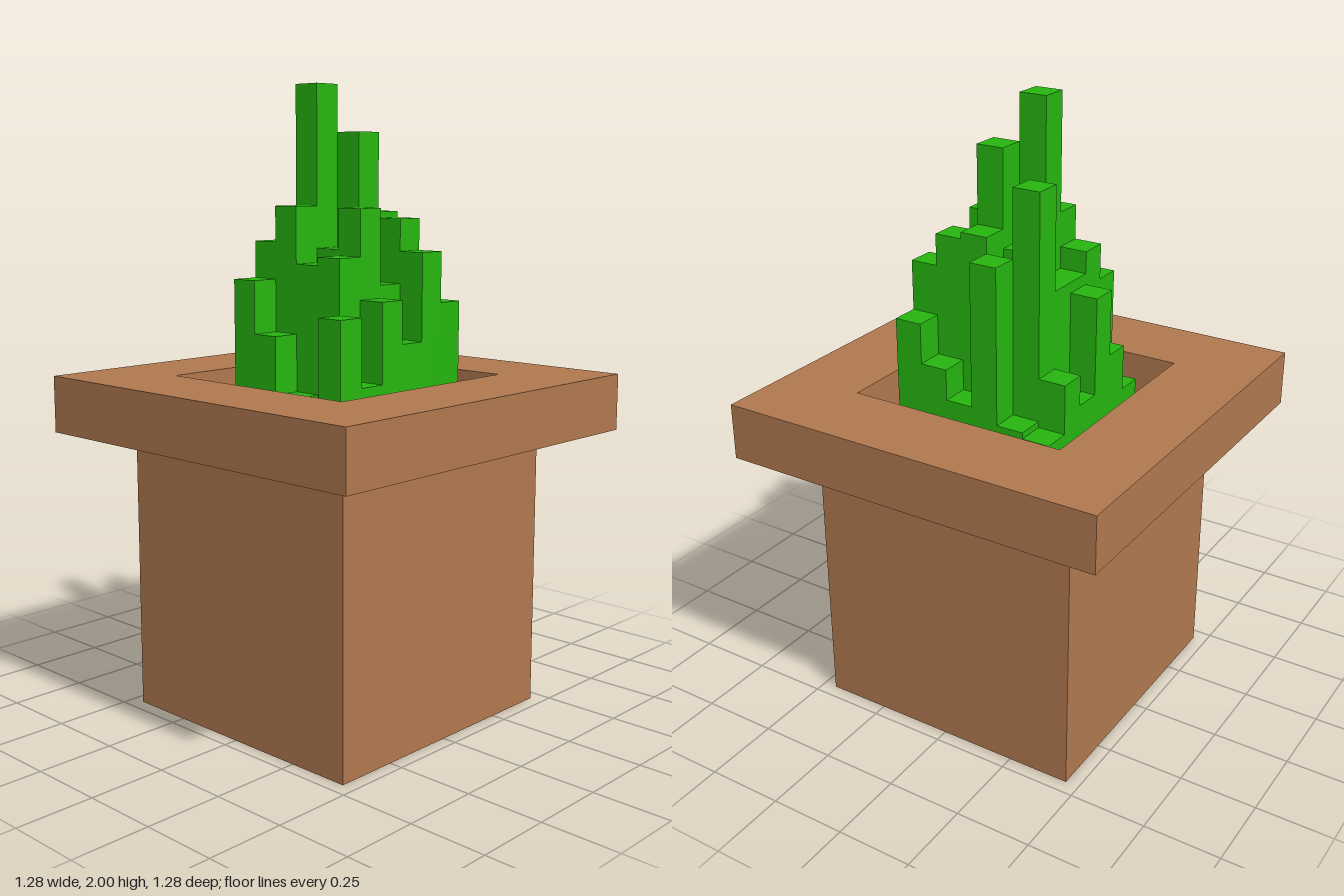
import * as THREE from 'three';

const U = 0.0911; // one block of the model's grid
const POT_TOP = 10 * U;

// Block-top heights: rows run back to front, columns from -x to +x
const HEIGHTS = [
  [1.04, 1.06, 1.56, 1.10, 1.20, 1.33],
  [1.20, 1.775, 1.40, 1.61, 1.59, 1.49],
  [1.10, 1.45, 1.55, 1.855, 1.39, 1.215],
  [1.415, 1.45, 2.00, 1.50, 1.625, 1.35],
  [1.20, 1.52, 1.63, 1.455, 1.48, 1.10],
  [1.05, 1.405, 1.24, 1.06, 1.05, 1.31],
];

function squarePoints(half) {
  return [[-1, -1], [1, -1], [1, 1], [-1, 1]].map(([x, y]) => new THREE.Vector2(x * half, y * half));
}

export function createModel() {
  const model = new THREE.Group();
  const clay = new THREE.MeshStandardMaterial({ color: 0xb0784f, flatShading: true, side: THREE.DoubleSide });
  const earth = new THREE.MeshStandardMaterial({ color: 0x8b4d25, side: THREE.DoubleSide });
  const green = new THREE.MeshStandardMaterial({ color: 0x26b50f });

  function add(parent, name, geometry, material) {
    const mesh = new THREE.Mesh(geometry, material);
    mesh.name = name;
    parent.add(mesh);
    return mesh;
  }

  // Pot body: thin square tube, open below
  const radius = 5 * U * Math.SQRT2;
  const body = new THREE.CylinderGeometry(radius, radius, POT_TOP, 4, 1, true);
  body.rotateY(Math.PI / 4);
  add(model, 'potBody', body, clay).position.y = POT_TOP / 2;

  // Rim: square slab with a square opening
  const rimShape = new THREE.Shape(squarePoints(7 * U));
  rimShape.holes.push(new THREE.Path(squarePoints(4 * U).reverse()));
  const rim = new THREE.ExtrudeGeometry(rimShape, { depth: 2 * U, bevelEnabled: false });
  rim.rotateX(-Math.PI / 2);
  add(model, 'potRim', rim, clay).position.y = POT_TOP;

  // Soil closing the bottom of the opening
  const soil = new THREE.PlaneGeometry(8 * U, 8 * U).rotateX(-Math.PI / 2);
  add(model, 'soil', soil, earth).position.y = POT_TOP;

  // Plant: a 6 x 6 cluster of square stalks
  const plant = new THREE.Group();
  plant.name = 'plant';
  HEIGHTS.forEach((row, j) => row.forEach((top, i) => {
    const height = top - POT_TOP;
    add(plant, 'stalk', new THREE.BoxGeometry(U, height, U), green)
      .position.set((i - 2.5) * U, POT_TOP + height / 2, (j - 2.5) * U);
  }));
  model.add(plant);

  return model;
}
